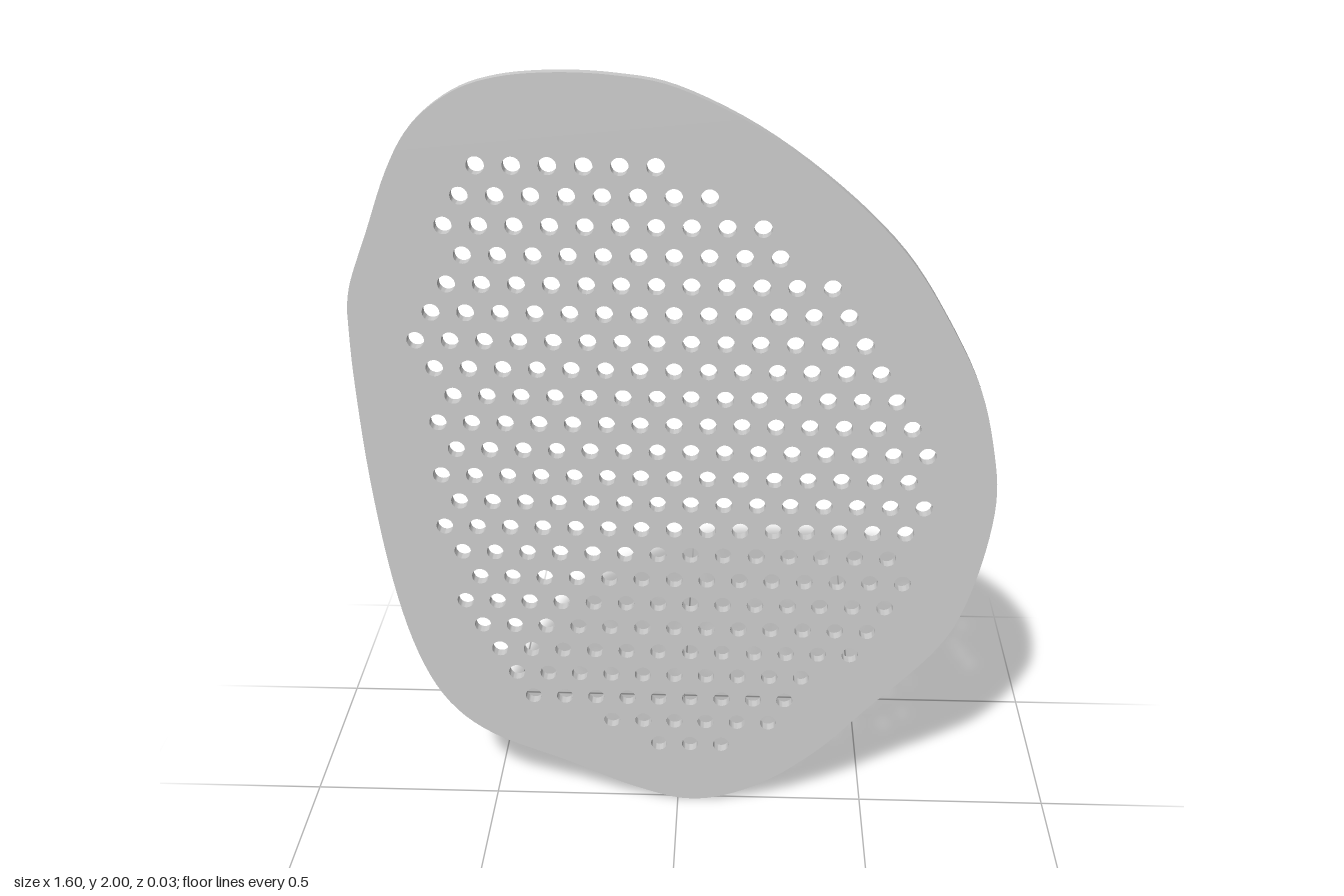
import * as THREE from 'three';
import { toCreasedNormals } from 'three/addons/utils/BufferGeometryUtils.js';

const THICKNESS = 0.028;
const HOLE_RADIUS = 0.0215;
const HALF_PITCH = 0.042;                    // half the spacing of holes in a row
const ROW_PITCH = HALF_PITCH * Math.sqrt(3); // hexagonal packing

// Outline, clockwise from the soft corner on the upper side at -x
const OUTLINE = [
  [-0.8, 1.425], [-0.786, 1.495], [-0.738, 1.62], [-0.68, 1.77], [-0.617, 1.875], [-0.52, 1.952],
  [-0.415, 1.988], [-0.283, 2], [-0.14, 1.994], [0, 1.967], [0.19, 1.875], [0.38, 1.737],
  [0.54, 1.58], [0.655, 1.405], [0.74, 1.235], [0.785, 1.065], [0.8, 0.927], [0.778, 0.758],
  [0.732, 0.595], [0.68, 0.5], [0.6, 0.405], [0.51, 0.312], [0.378, 0.17], [0.22, 0.053],
  [0.05, 0], [-0.115, 0.037], [-0.31, 0.122], [-0.5, 0.202], [-0.615, 0.302], [-0.69, 0.455],
  [-0.743, 0.678], [-0.78, 0.97], [-0.798, 1.25], [-0.8, 1.425],
];

// Hole rows from top to bottom: [first hole in half pitches, number of holes]
const ROWS = [
  [4, 6], [3, 8], [2, 10], [3, 10], [2, 12], [1, 13], [0, 14], [1, 14],
  [2, 14], [1, 15], [2, 15], [1, 15], [2, 15], [1, 15], [2, 14], [3, 14],
  [2, 14], [3, 13], [4, 12], [5, 10], [6, 9], [11, 6], [14, 3],
];

export function createModel() {
  const curve = new THREE.SplineCurve(OUTLINE.map(([x, y]) => new THREE.Vector2(x, y)));
  const shape = new THREE.Shape(curve.getPoints(165).slice(0, -1));

  // Staggered grid of round perforations, wound opposite to the outline
  ROWS.forEach(([start, count], row) => {
    for (let i = 0; i < count; i++) {
      const x = -0.639 + HALF_PITCH * (start + 2 * i);
      const y = 1.783 - ROW_PITCH * row;
      shape.holes.push(new THREE.Path().absarc(x, y, HOLE_RADIUS, 0, Math.PI * 2, false));
    }
  });

  const geometry = new THREE.ExtrudeGeometry(shape, {
    depth: THICKNESS, bevelEnabled: false, curveSegments: 20,
  });
  geometry.translate(0, 0, -THICKNESS / 2);

  const plate = new THREE.Mesh(
    toCreasedNormals(geometry, 0.6),
    new THREE.MeshStandardMaterial({ color: 0xcccccc }),
  );
  plate.name = 'perforatedPlate';

  const model = new THREE.Group();
  model.name = 'perforatedShield';
  model.add(plate);
  return model;
}
